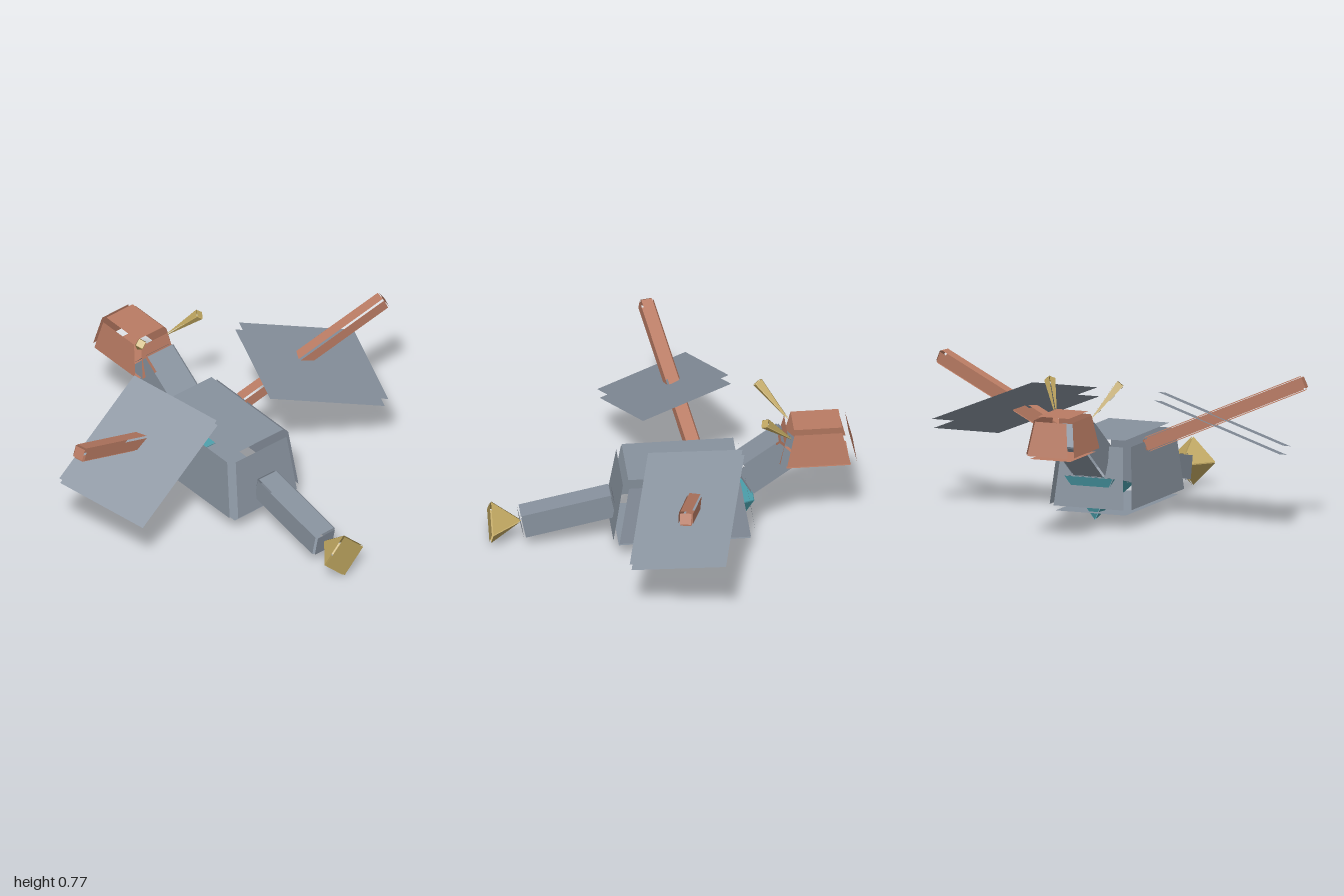
import * as THREE from 'three';

const mat = (name, color) => new THREE.MeshStandardMaterial({ name, color, side: THREE.DoubleSide, flatShading: true });
const V = (x, y, z) => new THREE.Vector3(x, y, z);

// Flat polygons (3 or 4 corners), turned to face away from the origin and pushed out by a gap
function panelGeometry(polys, gapOf) {
  const out = [];
  for (const poly of polys) {
    let p = poly.map(v => v.clone());
    const n = p[1].clone().sub(p[0]).cross(p[2].clone().sub(p[0])).normalize();
    const mid = p.reduce((s, v) => s.add(v), V(0, 0, 0)).divideScalar(p.length);
    if (n.dot(mid) < 0) { p.reverse(); n.negate(); }
    const push = gapOf(n);
    p.forEach(v => v.add(push));
    for (let i = 1; i < p.length - 1; i++) for (const v of [p[0], p[i], p[i + 1]]) out.push(v.x, v.y, v.z);
  }
  const g = new THREE.BufferGeometry();
  g.setAttribute('position', new THREE.Float32BufferAttribute(out, 3));
  g.computeVertexNormals();
  return g;
}

// Tapered box of six separate panels; half sizes at bottom and top, gaps per axis
function panelBox(bw, bd, tw, td, h, gx, gy, gz) {
  const ring = (w, d, y) => [V(-w, y, -d), V(w, y, -d), V(w, y, d), V(-w, y, d)];
  const b = ring(bw, bd, -h / 2), t = ring(tw, td, h / 2);
  const polys = [b, t];
  for (let i = 0; i < 4; i++) {
    const j = (i + 1) % 4;
    polys.push([b[i], b[j], t[j], t[i]]);
  }
  return panelGeometry(polys, n => {
    const a = [Math.abs(n.x), Math.abs(n.y), Math.abs(n.z)];
    const k = a.indexOf(Math.max(...a));
    return V(k === 0 ? Math.sign(n.x) * gx : 0, k === 1 ? Math.sign(n.y) * gy : 0, k === 2 ? Math.sign(n.z) * gz : 0);
  });
}

// Four-sided spike of separate panels: apex at the origin, base at z = h
function panelSpike(r, h, gap, turn = 0) {
  const base = [0, 1, 2, 3].map(i => {
    const a = turn + i * Math.PI / 2;
    return V(r * Math.cos(a), r * Math.sin(a), h / 2);
  });
  const apex = V(0, 0, -h / 2);
  const polys = [base, ...base.map((p, i) => [apex, p, base[(i + 1) % 4]])];
  return panelGeometry(polys, n => n.clone().multiplyScalar(gap)).translate(0, 0, h / 2);
}

export function createModel() {
  const model = new THREE.Group();
  const grey = mat('slate grey', 0x87919d);
  const clay = mat('clay orange', 0xb97b63);
  const gold = mat('gold', 0xbfa660);
  const teal = mat('teal', 0x4a9ca8);

  const add = (name, geo, material, pos, parent = model) => {
    const m = new THREE.Mesh(geo, material);
    m.name = name;
    m.position.copy(pos);
    parent.add(m);
    return m;
  };
  const aim = (m, dir) => m.quaternion.setFromUnitVectors(V(0, 0, 1), dir.clone().normalize());

  // Trunk, neck, head and tail
  add('body', panelBox(0.19, 0.33, 0.165, 0.28, 0.31, 0.033, 0.03, 0.027), grey, V(0, 0.255, -0.05));
  add('neck', panelBox(0.08, 0.15, 0.08, 0.13, 0.16, 0.01, 0.006, 0.01), grey, V(0, 0.42, -0.48)).rotation.x = 0.63;
  add('head', panelBox(0.11, 0.16, 0.085, 0.12, 0.17, 0.02, 0.02, 0.033), clay, V(0, 0.525, -0.73));
  add('tail', panelBox(0.055, 0.23, 0.055, 0.23, 0.12, 0.008, 0.005, 0.01), grey, V(0, 0.169, 0.52)).rotation.x = 0.206;
  add('tailTip', panelSpike(0.12, 0.15, 0.005), gold, V(0, 0.125, 0.755));

  // Chest wedge, point down
  aim(add('chest', panelSpike(0.184, 0.2, 0.003, Math.PI / 4), teal, V(0, 0.03, -0.325)), V(0, 0.97, 0.24));

  // Paired parts
  for (const s of [1, -1]) {
    const side = new THREE.Group();
    side.name = s > 0 ? 'leftSide' : 'rightSide';
    side.scale.x = s;
    model.add(side);

    // Wing: two parallel sheets
    const top = [V(0.34, 0.70, -0.325), V(0.955, 0.445, -0.17), V(0.80, 0.355, 0.288), V(0.185, 0.61, 0.133)];
    const drop = V(-0.015, -0.043, -0.011);
    add('wingUpper', panelGeometry([top], () => V(0, 0, 0)), grey, V(0, 0, 0), side);
    // The lower sheet faces down
    const lower = panelGeometry([top], () => drop);
    const ix = lower.attributes.position.count;
    lower.setIndex([...Array(ix).keys()].reverse());
    lower.computeVertexNormals();
    add('wingLower', lower, grey, V(0, 0, 0), side);

    // Wing arm through the sheets
    const a = V(0.2, 0.392, -0.13), b = V(0.982, 0.732, 0.025);
    const len = a.distanceTo(b);
    const arm = add('wingArm', panelBox(0.028, len / 2, 0.028, len / 2, 0.056, 0.008, 0.008, 0.008), clay,
      a.clone().add(b).multiplyScalar(0.5), side);
    const dir = b.clone().sub(a).normalize();
    const across = V(0, 1, 0).cross(dir).normalize();
    arm.quaternion.setFromRotationMatrix(new THREE.Matrix4().makeBasis(across, dir.clone().cross(across), dir));

    // Horn: thin spike widening to its tip
    const root = V(0.09, 0.58, -0.6), tip = V(0.19, 0.748, -0.455);
    aim(add('horn', panelSpike(0.026, root.distanceTo(tip), 0.003), gold, root, side), tip.clone().sub(root));
  }
  return model;
}
